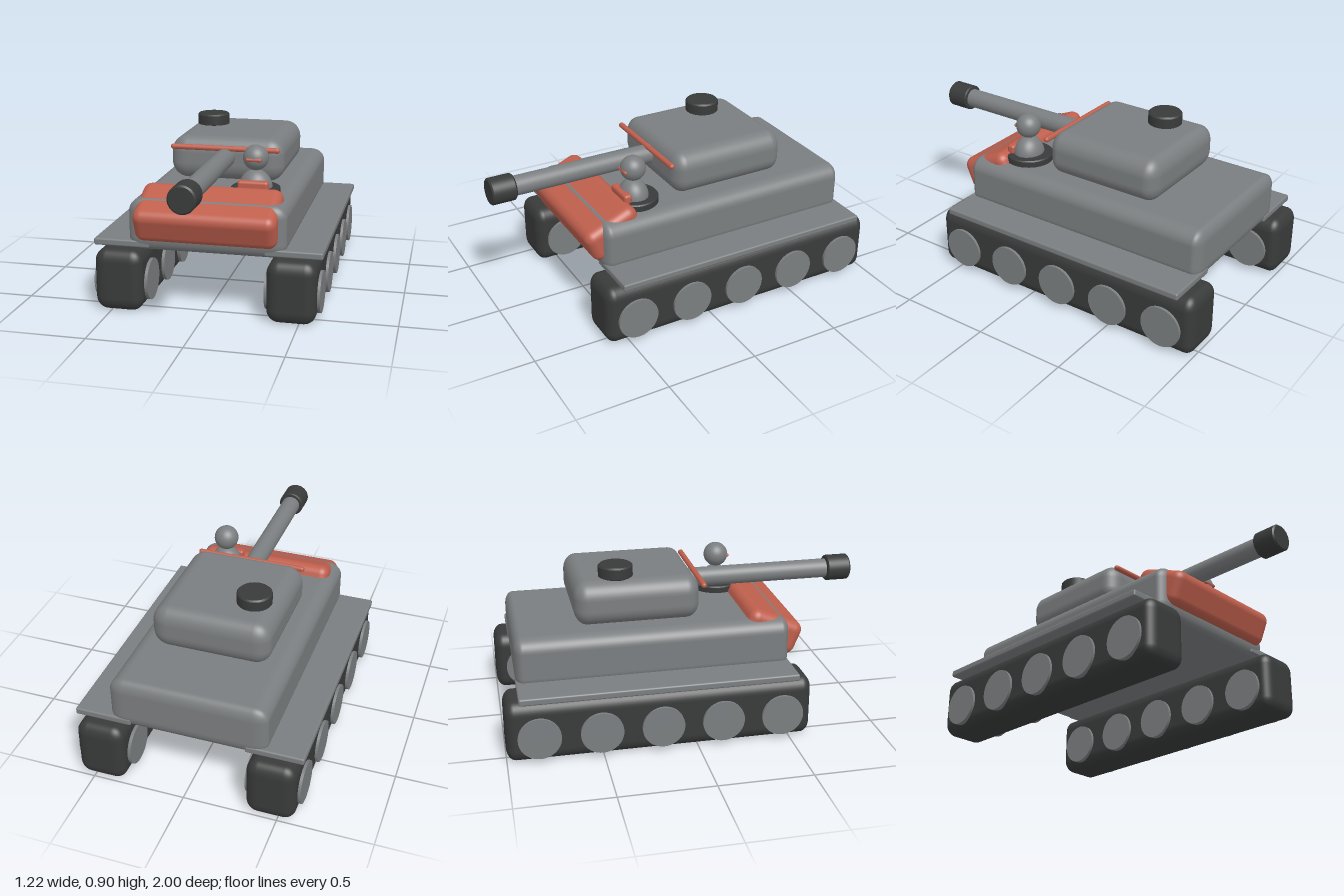
import * as THREE from 'three';
import { RoundedBoxGeometry } from 'three/addons/geometries/RoundedBoxGeometry.js';

const paint = (name, color) => Object.assign(new THREE.MeshStandardMaterial({ color }), { name });

// Rounded box whose corner radius can differ on each axis
function softBox(w, h, d, rx, ry = rx, rz = rx) {
  return new RoundedBoxGeometry(w / rx, h / ry, d / rz, 5, 1).scale(rx, ry, rz);
}

// Upright drum with small bevelled rims
function drum(r, h, b) {
  const p = [[0, -h / 2], [r - b, -h / 2], [r, -h / 2 + b], [r, -h / 2 + b], [r, h / 2 - b], [r, h / 2 - b], [r - b, h / 2], [r - b, h / 2], [0, h / 2]];
  return new THREE.LatheGeometry(p.map(([x, y]) => new THREE.Vector2(x, y)), 40);
}

export function createModel() {
  const grey = paint('armour grey', 0x7b7e80);
  const dark = paint('rubber black', 0x393a3a);
  const red = paint('accent red', 0xbf5f4d);

  const model = new THREE.Group();
  model.name = 'tank';
  function add(name, geometry, material, x, y, z, parent = model) {
    const mesh = new THREE.Mesh(geometry, material);
    mesh.name = name;
    mesh.position.set(x, y, z);
    parent.add(mesh);
    return mesh;
  }

  // Hull and tilted front plate
  add('hull', softBox(0.84, 0.277, 1.47, 0.08, 0.07, 0.045), grey, 0, 0.4615, -0.19);
  add('frontPlate', softBox(0.755, 0.19, 0.315, 0.05), red, 0, 0.515, 0.46).rotation.x = 0.4;

  // Running gear on both sides
  const wheel = new THREE.CylinderGeometry(0.112, 0.112, 0.292, 40).rotateZ(Math.PI / 2);
  for (const [side, s] of [['left', 1], ['right', -1]]) {
    const gear = new THREE.Group();
    gear.name = side + 'RunningGear';
    model.add(gear);
    add('track', softBox(0.26, 0.334, 1.62, 0.065, 0.07, 0.05), dark, s * 0.458, 0.167, -0.19, gear);
    add('fender', softBox(0.305, 0.038, 1.465, 0.01), grey, s * 0.458, 0.354, -0.193, gear);
    for (let i = 0; i < 5; i++) {
      add('wheel', wheel, grey, s * 0.457, 0.14, 0.455 - i * 0.321, gear);
    }
  }

  // Turret, hatch and front rail
  add('turret', softBox(0.638, 0.238, 0.67, 0.09, 0.09, 0.07), grey, 0, 0.721, -0.26);
  add('hatch', drum(0.092, 0.07, 0.008), dark, -0.17, 0.868, -0.36);
  add('rail', new THREE.CapsuleGeometry(0.015, 0.58, 6, 16).rotateZ(Math.PI / 2), red, 0, 0.79, 0.093);

  // Gun
  add('barrel', new THREE.CylinderGeometry(0.053, 0.053, 0.95, 32).rotateX(Math.PI / 2), grey, 0, 0.737, 0.43);
  add('muzzle', drum(0.072, 0.135, 0.008).rotateX(Math.PI / 2), dark, 0, 0.737, 0.9325);

  // Crew member in the front hatch
  const crew = new THREE.Group();
  crew.name = 'crewMember';
  crew.position.set(0.21, 0, 0.28);
  model.add(crew);
  add('hatchRing', drum(0.132, 0.05, 0.006), dark, 0, 0.612, -0.002, crew);
  add('torso', new THREE.SphereGeometry(1, 32, 20).scale(0.09, 0.1, 0.08), grey, 0, 0.63, 0, crew);
  add('head', new THREE.SphereGeometry(0.068, 32, 20), grey, 0, 0.793, 0, crew);
  add('visor', new THREE.CapsuleGeometry(0.01, 0.066, 6, 12).rotateZ(Math.PI / 2), red, 0, 0.791, 0.06, crew);
  add('collar', softBox(0.166, 0.055, 0.046, 0.016), red, 0, 0.656, 0.068, crew);

  return model;
}
